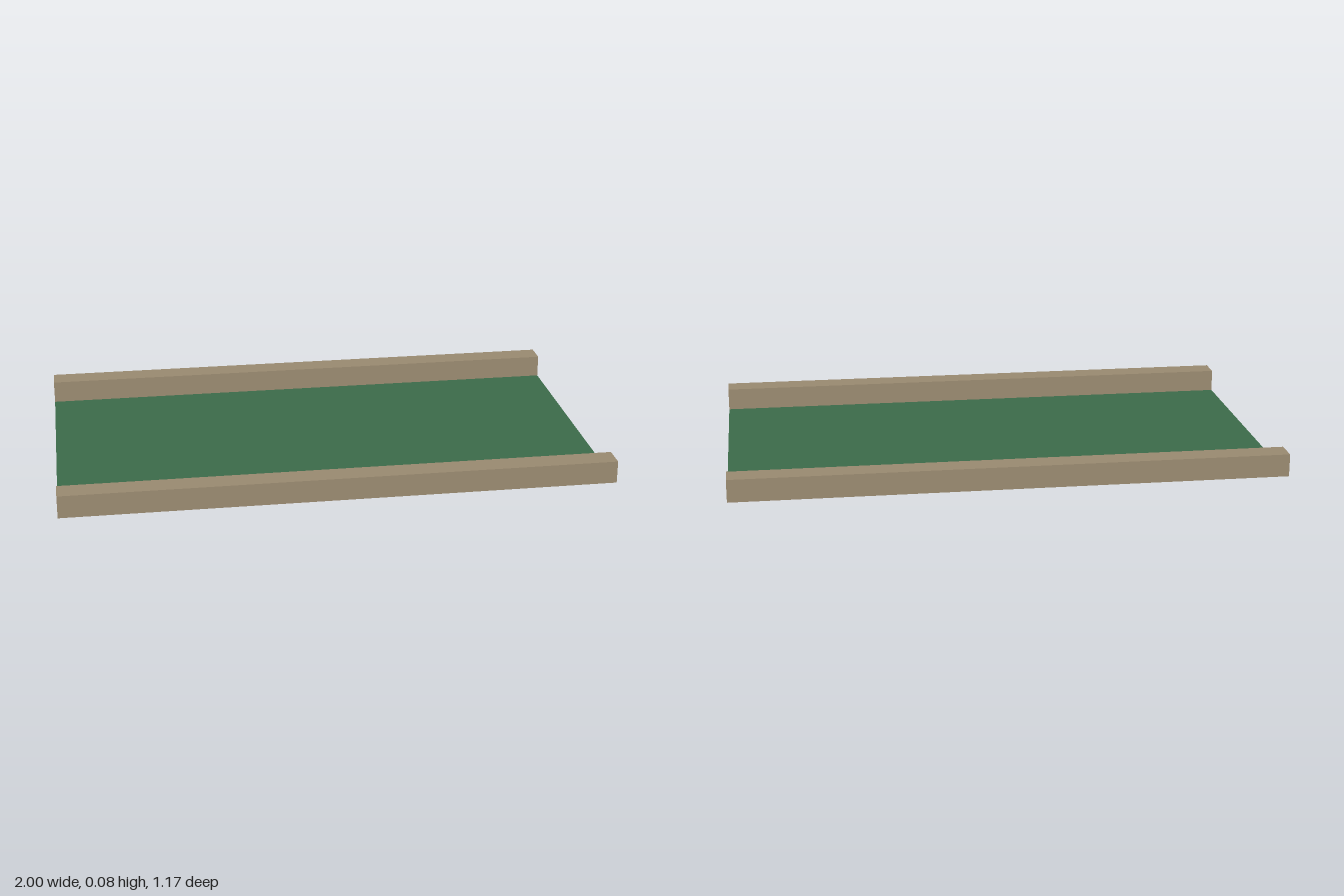
import * as THREE from 'three';

const LENGTH = 2, INNER = 0.5, OUTER = 0.587, HEIGHT = 0.083;

export function createModel() {
  const green = new THREE.MeshStandardMaterial({ color: 0x3d6c4b, side: THREE.DoubleSide });
  green.name = 'green';
  const tan = new THREE.MeshStandardMaterial({ color: 0x9b8b71, side: THREE.DoubleSide });
  tan.name = 'tan';

  const model = new THREE.Group();
  model.name = 'tray';
  const width = OUTER - INNER;
  const middle = (OUTER + INNER) / 2;

  // Thin sheet, rotated and then placed
  function addSheet(parent, name, w, h, material, position, rx = 0, ry = 0) {
    const mesh = new THREE.Mesh(new THREE.PlaneGeometry(w, h), material);
    mesh.name = name;
    mesh.rotation.set(rx, ry, 0);
    mesh.position.set(...position);
    parent.add(mesh);
  }

  // Flat floor between the rails
  addSheet(model, 'floor', LENGTH, 2 * INNER, green, [0, 0, 0], -Math.PI / 2);

  // Hollow rails, open underneath
  for (const side of [1, -1]) {
    const rail = new THREE.Group();
    rail.name = side > 0 ? 'frontRail' : 'backRail';
    const outward = side > 0 ? 0 : Math.PI;
    addSheet(rail, 'outerWall', LENGTH, HEIGHT, tan, [0, HEIGHT / 2, side * OUTER], 0, outward);
    addSheet(rail, 'innerWall', LENGTH, HEIGHT, tan, [0, HEIGHT / 2, side * INNER], 0, Math.PI - outward);
    addSheet(rail, 'railTop', LENGTH, width, tan, [0, HEIGHT, side * middle], -Math.PI / 2);
    // Only the back rail is closed, at its left end
    if (side < 0) {
      addSheet(rail, 'endCap', width, HEIGHT, tan, [LENGTH / 2, HEIGHT / 2, side * middle], 0, Math.PI / 2);
    }
    model.add(rail);
  }
  return model;
}
